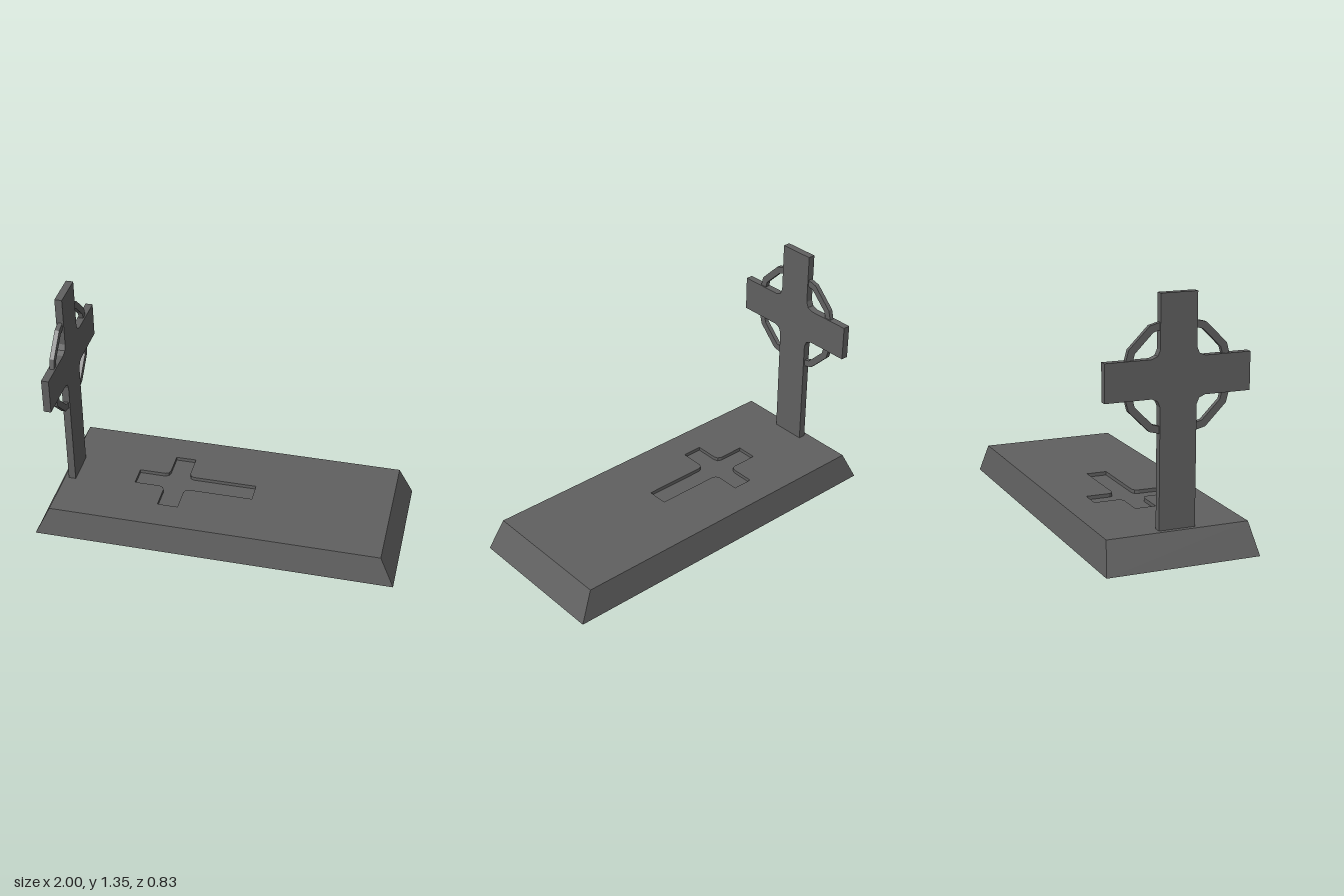
import * as THREE from 'three';

// Latin cross outline, counter-clockwise, centred on the crossing, inner corners filleted
function crossOutline(w, arm, head, foot, f) {
  const half = [
    [w, -foot], [w, -w - f], [w + 0.3 * f, -w - 0.3 * f], [w + f, -w], [arm, -w],
    [arm, w], [w + f, w], [w + 0.3 * f, w + 0.3 * f], [w, w + f], [w, head],
  ];
  const mirrored = half.map(([x, y]) => [-x, y]).reverse();
  return [...half, ...mirrored].map(([x, y]) => new THREE.Vector2(x, y));
}

function rectangle(hx, hz) {
  return [[-hx, -hz], [hx, -hz], [hx, hz], [-hx, hz]].map(([x, y]) => new THREE.Vector2(x, y));
}

function polygon(radius, sides) {
  return Array.from({ length: sides }, (_, i) => {
    const a = (i / sides) * Math.PI * 2;
    return new THREE.Vector2(radius * Math.cos(a), radius * Math.sin(a));
  });
}

// Flat-sided wall between two matching outlines lying at heights ya and yb
function wall(a, ya, b, yb) {
  const pos = [];
  a.forEach((p, i) => {
    const j = (i + 1) % a.length;
    const a0 = [p.x, ya, -p.y], a1 = [a[j].x, ya, -a[j].y];
    const b0 = [b[i].x, yb, -b[i].y], b1 = [b[j].x, yb, -b[j].y];
    pos.push(...a0, ...a1, ...b1, ...a0, ...b1, ...b0);
  });
  const g = new THREE.BufferGeometry();
  g.setAttribute('position', new THREE.Float32BufferAttribute(pos, 3));
  g.computeVertexNormals();
  return g;
}

function face(shape, y, up = true) {
  return new THREE.ShapeGeometry(shape).rotateX(up ? -Math.PI / 2 : Math.PI / 2).translate(0, y, 0);
}

// Upright plate facing +x, centred on its thickness
function plate(shape, thickness) {
  return new THREE.ExtrudeGeometry(shape, { depth: thickness, bevelEnabled: false })
    .translate(0, 0, -thickness / 2)
    .rotateY(Math.PI / 2);
}

export function createModel() {
  const model = new THREE.Group();
  model.name = 'graveWithCross';
  const stone = new THREE.MeshStandardMaterial({ color: 0x606060 });
  stone.name = 'darkStone';
  stone.flatShading = true;

  const add = (parent, name, geometry) => {
    const mesh = new THREE.Mesh(geometry, stone);
    mesh.name = name;
    parent.add(mesh);
    return mesh;
  };

  // Tapered slab with a sunken cross in its top
  const H = 0.165, DEPTH = 0.02;
  const slab = new THREE.Group();
  slab.name = 'slab';
  model.add(slab);
  const bottom = rectangle(1, 0.415), top = rectangle(0.92, 0.384);
  const sunken = crossOutline(0.057, 0.215, 0.23, 0.443, 0.028)
    .map((p) => new THREE.Vector2(-p.y - 0.291, p.x));
  const topShape = new THREE.Shape(top);
  topShape.holes.push(new THREE.Path(sunken));
  add(slab, 'slabSides', wall(bottom, 0, top, H));
  add(slab, 'slabTop', face(topShape, H));
  add(slab, 'slabBottom', face(new THREE.Shape(bottom), 0, false));
  add(slab, 'recessWalls', wall(sunken, H, sunken, H - DEPTH));
  add(slab, 'recessFloor', face(new THREE.Shape(sunken), H - DEPTH));

  // Standing cross with a twelve-sided ring behind its arms
  const headstone = new THREE.Group();
  headstone.name = 'headstone';
  headstone.position.set(-0.877, 0.931, 0.003);
  model.add(headstone);
  const cross = new THREE.Shape(crossOutline(0.0975, 0.386, 0.415, 0.931 - H, 0.044));
  add(headstone, 'standingCross', plate(cross, 0.04));
  const ring = new THREE.Shape(polygon(0.3, 12));
  ring.holes.push(new THREE.Path(polygon(0.262, 12)));
  add(headstone, 'ring', plate(ring, 0.025));

  return model;
}
